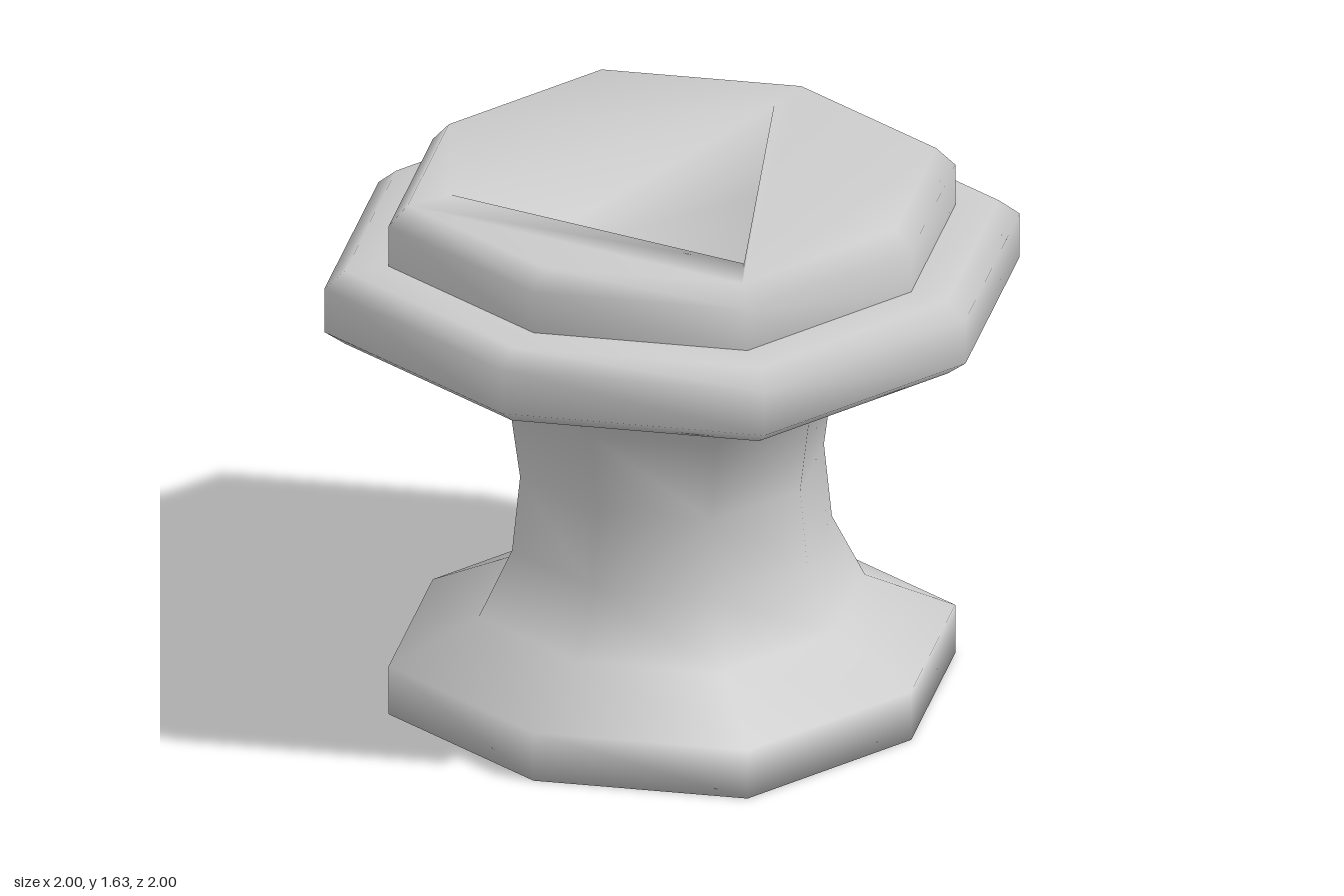
import * as THREE from 'three';
import { mergeVertices, mergeGeometries } from 'three/addons/utils/BufferGeometryUtils.js';

const DIAG = 0.75 * Math.SQRT2; // the diagonal corners reach slightly further out

// Weld everything so the normals run smoothly across the facets
function weld(geometries) {
  const parts = geometries.map((g) => {
    const p = g.index ? g.toNonIndexed() : g;
    p.deleteAttribute('normal');
    p.deleteAttribute('uv');
    return p;
  });
  const geometry = mergeVertices(mergeGeometries(parts), 1e-3);
  geometry.computeVertexNormals();
  return geometry;
}

// Eight-sided turned form with stretched diagonal corners
function octagonTurned(profile) {
  const points = profile.map(([r, y]) => new THREE.Vector2(r, y));
  const geometry = new THREE.LatheGeometry(points, 8);
  const pos = geometry.attributes.position;
  for (let i = 0; i < pos.count; i++) {
    const side = Math.floor(i / profile.length);
    const s = side % 2 ? DIAG : 1;
    pos.setXYZ(i, pos.getX(i) * s, pos.getY(i), pos.getZ(i) * s);
  }
  return geometry;
}

// Flat octagonal top with a triangular opening
function piercedTop(radius, y, triangle) {
  const outline = [];
  for (let i = 0; i < 8; i++) {
    const a = (i * Math.PI) / 4;
    const r = radius * (i % 2 ? DIAG : 1);
    outline.push(new THREE.Vector2(Math.cos(a) * r, Math.sin(a) * r));
  }
  const shape = new THREE.Shape(outline);
  shape.holes.push(new THREE.Path(triangle.map(([x, z]) => new THREE.Vector2(x, -z))));
  return new THREE.ShapeGeometry(shape).rotateX(-Math.PI / 2).translate(0, y, 0);
}

// Inner walls and floor of the triangular socket
function socket(triangle, yTop, yFloor, taper) {
  const top = triangle.map(([x, z]) => [x, yTop, z]);
  const low = triangle.map(([x, z]) => [x * taper, yFloor, z * taper]);
  const corners = [...low];
  for (let i = 0; i < 3; i++) {
    const j = (i + 1) % 3;
    corners.push(top[i], top[j], low[j], top[i], low[j], low[i]);
  }
  const geometry = new THREE.BufferGeometry();
  geometry.setAttribute('position', new THREE.Float32BufferAttribute(corners.flat(), 3));
  return geometry;
}

export function createModel() {
  const group = new THREE.Group();
  const grey = new THREE.MeshStandardMaterial({ color: 0xcccccc });
  grey.name = 'light grey';

  const add = (name, geometries) => {
    const mesh = new THREE.Mesh(weld(geometries), grey);
    mesh.name = name;
    group.add(mesh);
  };

  // Foot and waisted neck
  add('pedestal', [octagonTurned([
    [0, 0], [0.815, 0], [0.815, 0.155], [0.555, 0.285], [0.46, 0.485],
    [0.437, 0.72], [0.47, 0.975], [0.65, 1.14], [0.79, 1.21],
  ])]);

  // Wide bevelled collar
  add('collar', [octagonTurned([
    [0.79, 1.21], [0.94, 1.21], [1, 1.255], [1, 1.395], [0.94, 1.445], [0.8, 1.445],
  ])]);

  // Crown with its triangular socket
  const triangle = [[0, -0.6], [-0.5, 0.44], [0.5, 0.44]];
  add('crown', [
    octagonTurned([[0.815, 1.44], [0.815, 1.575], [0.76, 1.635]]),
    piercedTop(0.76, 1.635, triangle),
    socket(triangle, 1.635, 1.38, 0.85),
  ]);

  return group;
}
